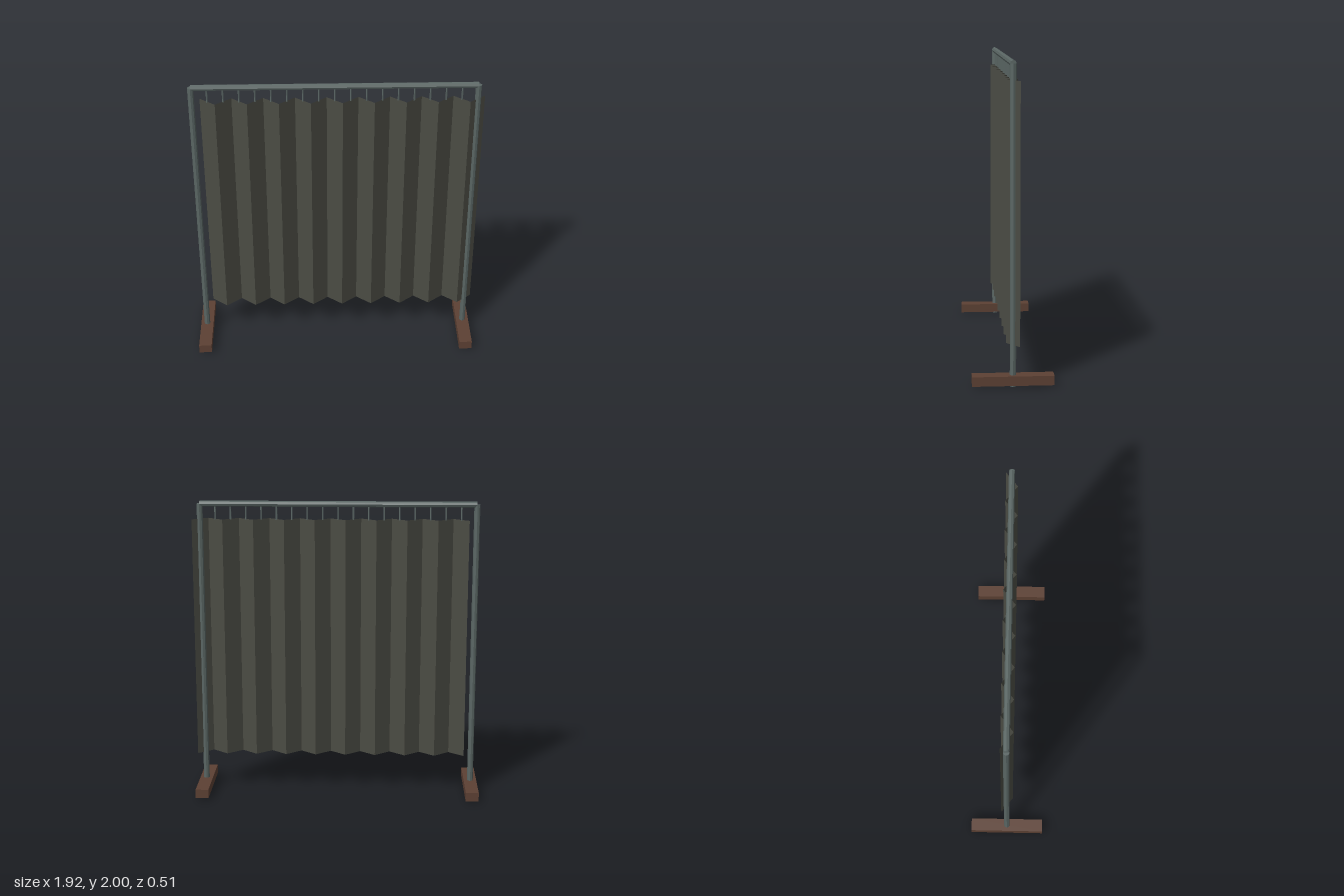
import * as THREE from 'three';

export function createModel() {
  const metal = new THREE.MeshStandardMaterial({ color: 0x596563, flatShading: true });
  metal.name = 'grey metal';
  const cloth = new THREE.MeshStandardMaterial({ color: 0x4a4b43, flatShading: true, side: THREE.DoubleSide });
  cloth.name = 'dark olive cloth';
  const wood = new THREE.MeshStandardMaterial({ color: 0x5c4033, flatShading: true });
  wood.name = 'brown wood';

  const model = new THREE.Group();
  model.name = 'curtainScreen';
  const add = (name, geometry, material, x, y, z = 0) => {
    const mesh = new THREE.Mesh(geometry, material);
    mesh.name = name;
    mesh.position.set(x, y, z);
    model.add(mesh);
    return mesh;
  };

  const rightX = -0.916, leftX = 0.908, railY = 1.98, radius = 0.02;

  // Posts standing through wooden feet
  for (const [side, x] of [['right', rightX], ['left', leftX]]) {
    add(side + 'Post', new THREE.CylinderGeometry(radius, radius, railY, 8), metal, x, railY / 2);
    add(side + 'Foot', new THREE.BoxGeometry(0.087, 0.06, 0.507), wood, x, 0.043);
  }

  // Top rail
  const rail = add('topRail', new THREE.CylinderGeometry(radius, radius, leftX - rightX, 8),
    metal, (rightX + leftX) / 2, railY);
  rail.rotation.z = Math.PI / 2;

  // Pleated curtain: a sheet folded in a zigzag, one hanger over each panel
  const panels = 18, startX = -0.866, endX = 0.958, depth = 0.04;
  const bottom = 0.26, top = 1.88, step = (endX - startX) / panels;
  const sheet = new THREE.PlaneGeometry(endX - startX, top - bottom, panels, 1);
  const pos = sheet.attributes.position;
  for (let i = 0; i < pos.count; i++) {
    pos.setZ(i, (i % (panels + 1)) % 2 ? depth : -depth);
  }
  const curtain = sheet.toNonIndexed();
  curtain.computeVertexNormals();
  add('curtain', curtain, cloth, (startX + endX) / 2, (top + bottom) / 2);

  const hangerBottom = 1.875;
  const hangerShape = new THREE.CylinderGeometry(0.006, 0.006, railY - hangerBottom, 6);
  for (let i = 0; i < panels; i++) {
    add('hanger', hangerShape, metal, startX + (i + 0.5) * step, (railY + hangerBottom) / 2);
  }
  return model;
}
